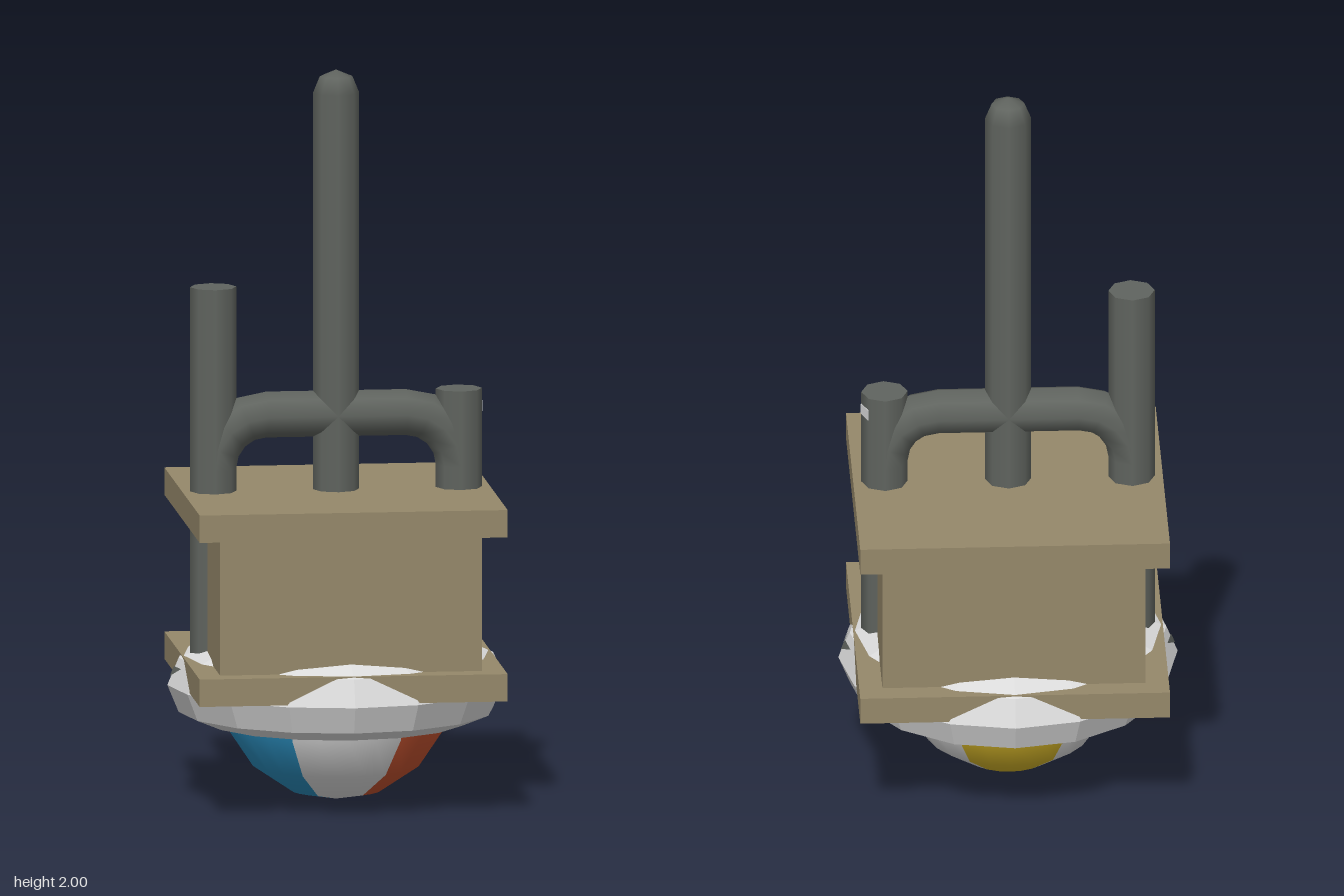
import * as THREE from 'three';

export function createModel() {
  const model = new THREE.Group();
  model.name = 'pipedBuoy';

  const mat = (name, color, extra = {}) => {
    const m = new THREE.MeshStandardMaterial({ color, ...extra });
    m.name = name;
    return m;
  };
  const iron = mat('dark grey pipe', 0x60645f);
  const wood = mat('tan crate', 0x95886a);
  const ringWhite = mat('light grey ring', 0xdadada, { flatShading: true });
  const white = mat('white', 0xdadada);
  const red = mat('red', 0xc4522f);
  const blue = mat('blue', 0x2a8cbc);
  const yellow = mat('yellow', 0xd4b428);

  const add = (name, geometry, material, x = 0, y = 0, z = 0) => {
    const mesh = new THREE.Mesh(geometry, material);
    mesh.name = name;
    mesh.position.set(x, y, z);
    model.add(mesh);
    return mesh;
  };

  // Crate: body between two overhanging plates
  const slab = (name, size, y0, y1) =>
    add(name, new THREE.BoxGeometry(size, y1 - y0, size), wood, 0, (y0 + y1) / 2);
  slab('crateBody', 0.714, 0.39, 0.785);
  slab('topPlate', 0.84, 0.775, 0.85);
  slab('bottomPlate', 0.84, 0.325, 0.4);

  // Upright pipes
  const R = 0.063, pipeX = 0.335;
  const pipe = (name, x, y0, y1) =>
    add(name, new THREE.CylinderGeometry(R, R, y1 - y0, 8), iron, x, (y0 + y1) / 2);
  pipe('mast', 0, 0.7, 2 - R);
  pipe('rightPipe', -pipeX, 0.36, 1.41);
  pipe('leftPipe', pipeX, 0.36, 1.12);
  add('mastCap', new THREE.SphereGeometry(R, 8, 2, 0, Math.PI * 2, 0, Math.PI / 2), iron, 0, 2 - R);

  // Cross pipe with an elbow at each end
  const bend = 0.145, crossY = 1.057;
  const cross = add('crossPipe', new THREE.CylinderGeometry(R, R, 2 * (pipeX - bend), 8), iron, 0, crossY);
  cross.rotation.z = Math.PI / 2;
  for (const side of [1, -1]) {
    const elbow = add(side > 0 ? 'leftElbow' : 'rightElbow',
      new THREE.TorusGeometry(bend, R, 8, 4, Math.PI / 2), iron, side * (pipeX - bend), crossY - bend);
    if (side < 0) elbow.rotation.y = Math.PI;
  }

  // Small label on one facet of the short pipe
  const a = Math.PI / 8, apothem = R * Math.cos(a);
  const label = add('pipeLabel', new THREE.BoxGeometry(0.004, 0.03, 0.046), white,
    pipeX + apothem * Math.cos(a), 1.07, -apothem * Math.sin(a));
  label.rotation.y = a;

  // Float ring
  const ring = add('floatRing', new THREE.TorusGeometry(0.355, 0.105, 8, 16), ringWhite, 0, 0.32);
  ring.rotation.x = Math.PI / 2;

  // Dark pipe corners showing through the ring on both sides
  for (const side of [1, -1]) {
    const g = new THREE.BufferGeometry();
    g.setAttribute('position', new THREE.Float32BufferAttribute([
      0.453, 0.345, 0, 0.442, 0.372, 0, 0.430, 0.372, 0.06, 0.430, 0.372, -0.06], 3));
    g.setIndex([0, 1, 2, 0, 3, 1]);
    g.computeVertexNormals();
    const corner = add(side > 0 ? 'leftPipeCorner' : 'rightPipeCorner', g, iron);
    if (side < 0) corner.rotation.y = Math.PI;
  }

  // Ball below: six wedges, starting at +x and turning towards the front
  const wedge = Math.PI / 3;
  [red, white, blue, white, yellow, white].forEach((m, i) => {
    add('ballWedge' + (i + 1), new THREE.SphereGeometry(0.32, 4, 4,
      Math.PI - (i + 1) * wedge, wedge, Math.PI / 2, Math.PI / 2), m, 0, 0.32);
  });

  return model;
}
